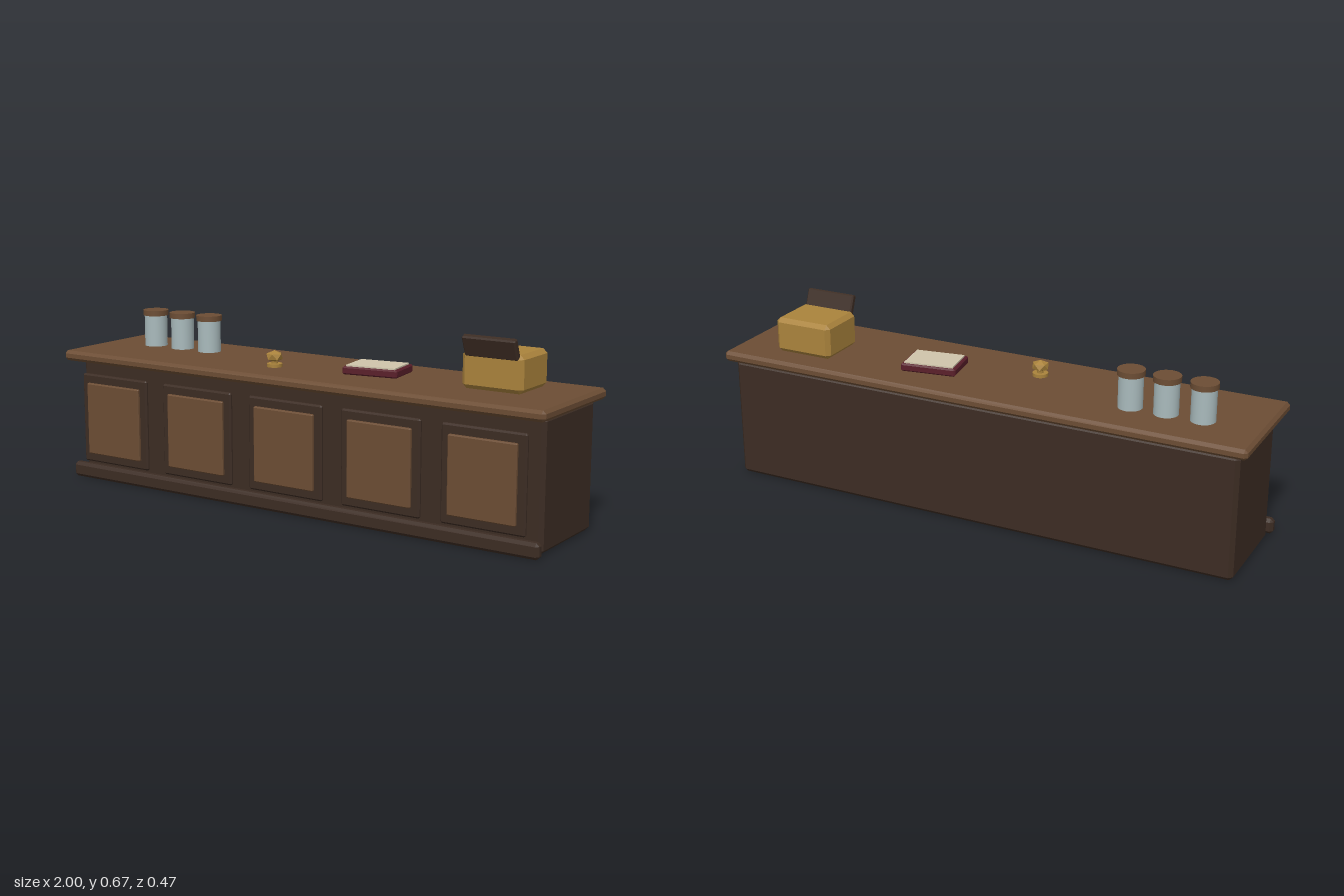
import * as THREE from 'three';
import { ConvexGeometry } from 'three/addons/geometries/ConvexGeometry.js';

const material = (name, color) => {
  const m = new THREE.MeshStandardMaterial({ color });
  m.name = name;
  return m;
};

// Box with a single 45 degree chamfer on every edge
function chamferBox(w, h, d, c) {
  const points = [];
  for (const sx of [-1, 1]) for (const sy of [-1, 1]) for (const sz of [-1, 1]) {
    const x = w / 2, y = h / 2, z = d / 2;
    points.push(
      new THREE.Vector3(sx * x, sy * (y - c), sz * (z - c)),
      new THREE.Vector3(sx * (x - c), sy * y, sz * (z - c)),
      new THREE.Vector3(sx * (x - c), sy * (y - c), sz * z));
  }
  return new ConvexGeometry(points);
}

export function createModel() {
  const model = new THREE.Group();
  model.name = 'shopCounter';

  const darkWood = material('dark wood', 0x3c2c23);
  const wood = material('wood', 0x6c4d34);
  const brass = material('brass', 0xaa833c);
  const glass = material('pale glass', 0xa9babc);
  const leather = material('red leather', 0x5a1f2a);
  const paper = material('paper', 0xcfc5ab);

  const add = (parent, name, geometry, mat, x, y, z) => {
    const mesh = new THREE.Mesh(geometry, mat);
    mesh.name = name;
    mesh.position.set(x, y, z);
    parent.add(mesh);
    return mesh;
  };
  const group = (name, x, y, z) => {
    const g = new THREE.Group();
    g.name = name;
    g.position.set(x, y, z);
    model.add(g);
    return g;
  };
  const TOP = 0.488;

  // Counter body, worktop and front plinth
  add(model, 'body', chamferBox(1.937, 0.45, 0.37, 0.014), darkWood, 0, 0.225, -0.0225);
  add(model, 'worktop', chamferBox(2, 0.038, 0.468, 0.011), wood, 0, 0.469, 0.001);
  add(model, 'plinth', chamferBox(1.965, 0.056, 0.037, 0.011), darkWood, 0, 0.028, 0.2);

  // Five framed front panels
  const frame = chamferBox(0.31, 0.337, 0.018, 0.006);
  const inset = chamferBox(0.25, 0.271, 0.022, 0.004);
  for (let i = -2; i <= 2; i++) {
    const panel = group('frontPanel', i * 0.388, 0.235, 0);
    add(panel, 'panelFrame', frame, darkWood, 0, 0, 0.201);
    add(panel, 'panelInset', inset, wood, 0, 0, 0.211);
  }

  // Three jars with wooden lids
  for (const x of [-0.79, -0.66, -0.532]) {
    const jar = group('jar', x, TOP, -0.057);
    add(jar, 'jarGlass', new THREE.CylinderGeometry(0.043, 0.043, 0.117, 24), glass, 0, 0.0585, 0);
    add(jar, 'jarLid', new THREE.CylinderGeometry(0.048, 0.048, 0.02, 24), wood, 0, 0.127, 0);
  }

  // Service bell: round base, short stem and a faceted knob
  const bell = group('bell', -0.14, TOP, 0.069);
  add(bell, 'bellBase', new THREE.CylinderGeometry(0.028, 0.028, 0.012, 16), brass, 0, 0.006, 0);
  add(bell, 'bellStem', new THREE.CylinderGeometry(0.012, 0.012, 0.012, 8), brass, 0, 0.016, 0);
  const knobPoints = [new THREE.Vector3(0, 0.022, 0), new THREE.Vector3(0, -0.022, 0)];
  for (let i = 0; i < 10; i++) {
    const a = i * Math.PI / 5;
    knobPoints.push(new THREE.Vector3(0.029 * Math.cos(a), i % 2 ? -0.01 : 0.01, 0.029 * Math.sin(a)));
  }
  add(bell, 'bellKnob', new ConvexGeometry(knobPoints), brass, 0, 0.037, 0);

  // Ledger lying at an angle
  const ledger = group('ledger', 0.232, TOP, -0.026);
  ledger.rotation.y = 0.15;
  add(ledger, 'ledgerCover', chamferBox(0.205, 0.028, 0.148, 0.005), leather, 0, 0.014, 0);
  add(ledger, 'ledgerPage', new THREE.BoxGeometry(0.182, 0.006, 0.13), paper, 0, 0.03, 0);

  // Cash register with a dark board leaning forward
  const register = group('cashRegister', 0.715, TOP, 0);
  add(register, 'registerBody', chamferBox(0.226, 0.129, 0.195, 0.015), brass, 0, 0.0645, -0.0455);
  const board = add(register, 'registerBoard', chamferBox(0.196, 0.075, 0.024, 0.005), darkWood, 0, 0.148, 0.057);
  board.rotation.x = 0.38;

  return model;
}
